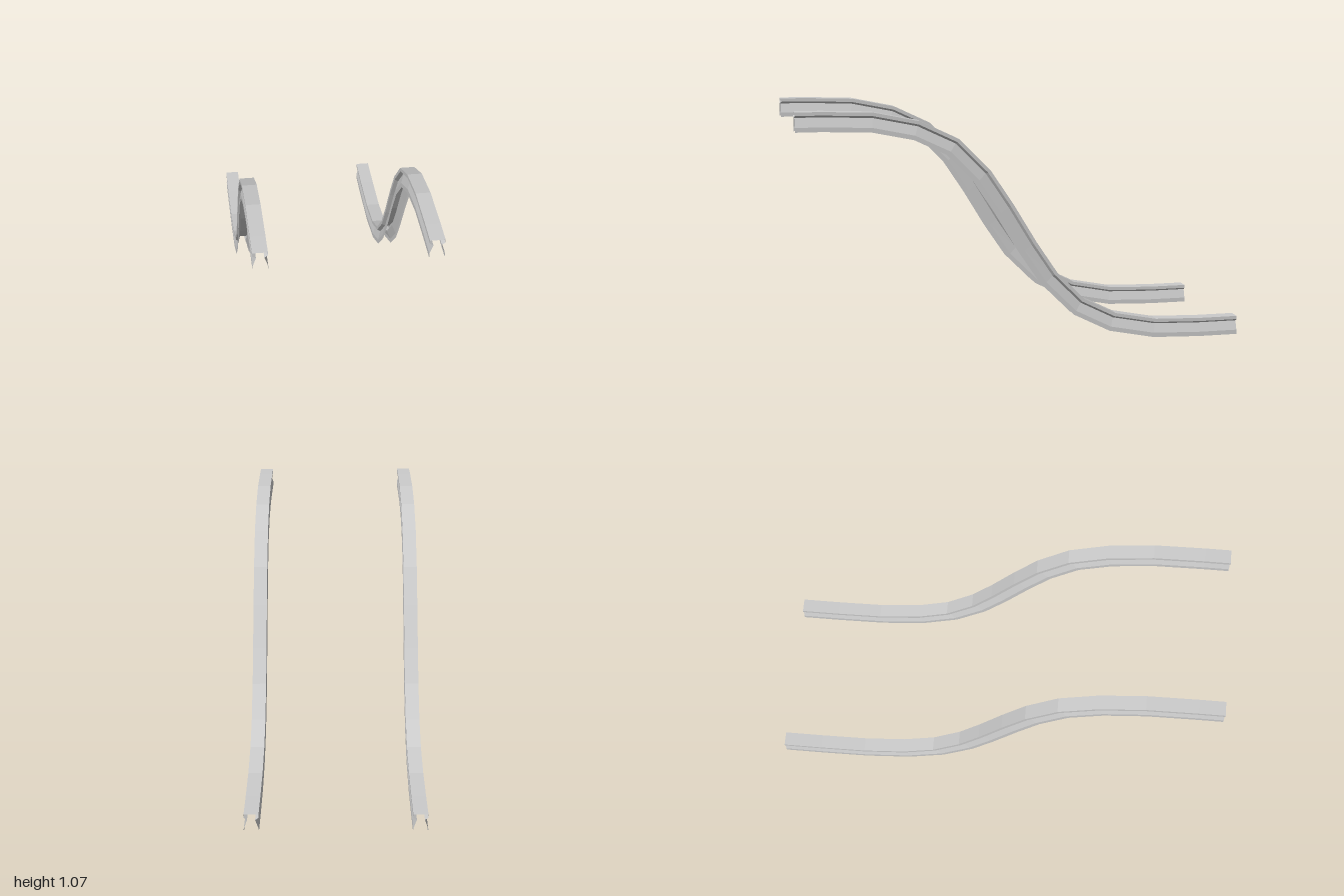
import * as THREE from 'three';

// Centre line of the S-curve as [z, y], from the high front to the low back
const path = [
  [1, 1.0225], [0.89, 1.0225], [0.67, 1.015], [0.48, 0.976], [0.32, 0.9],
  [0.19, 0.768], [0.09, 0.618], [-0.015, 0.445], [-0.113, 0.3],
  [-0.247, 0.167], [-0.404, 0.089], [-0.605, 0.05], [-0.82, 0.0425], [-1, 0.0425],
];

// Half of the open sheet profile as [x, height]: flat head, pinched waist, flared leg
const half = [[0.031, 0.085], [0.031, 0.07], [0.0165, 0.061], [0.031, 0.02], [0.031, 0]];
const profile = [...half.map(([x, h]) => [-x, h]).reverse(), ...half];
const midHeight = 0.0425;

// Sweeps the profile along the path, square to the local direction
function railGeometry() {
  const positions = [];
  const index = [];
  const n = profile.length;
  path.forEach(([z, y], i) => {
    const a = path[Math.max(i - 1, 0)];
    const b = path[Math.min(i + 1, path.length - 1)];
    const atEnd = i === 0 || i === path.length - 1;
    const tangent = new THREE.Vector2(b[0] - a[0], atEnd ? 0 : b[1] - a[1]).normalize();
    for (const [x, h] of profile) {
      const d = h - midHeight;
      positions.push(x, y - tangent.x * d, z + tangent.y * d);
    }
    if (i === 0) return;
    for (let j = 0; j < n - 1; j++) {
      const p = (i - 1) * n + j;
      const q = i * n + j;
      index.push(p, p + 1, q, p + 1, q + 1, q);
    }
  });
  const geometry = new THREE.BufferGeometry();
  geometry.setAttribute('position', new THREE.Float32BufferAttribute(positions, 3));
  geometry.setIndex(index);
  geometry.computeVertexNormals();
  return geometry;
}

export function createModel() {
  const group = new THREE.Group();
  group.name = 'slopedTrack';
  const material = new THREE.MeshStandardMaterial({
    color: 0xcccccc, flatShading: true, side: THREE.DoubleSide,
  });
  const geometry = railGeometry();

  // Two parallel rails
  for (const [name, x] of [['leftRail', 0.35], ['rightRail', -0.35]]) {
    const rail = new THREE.Mesh(geometry, material);
    rail.name = name;
    rail.position.x = x;
    group.add(rail);
  }
  return group;
}
